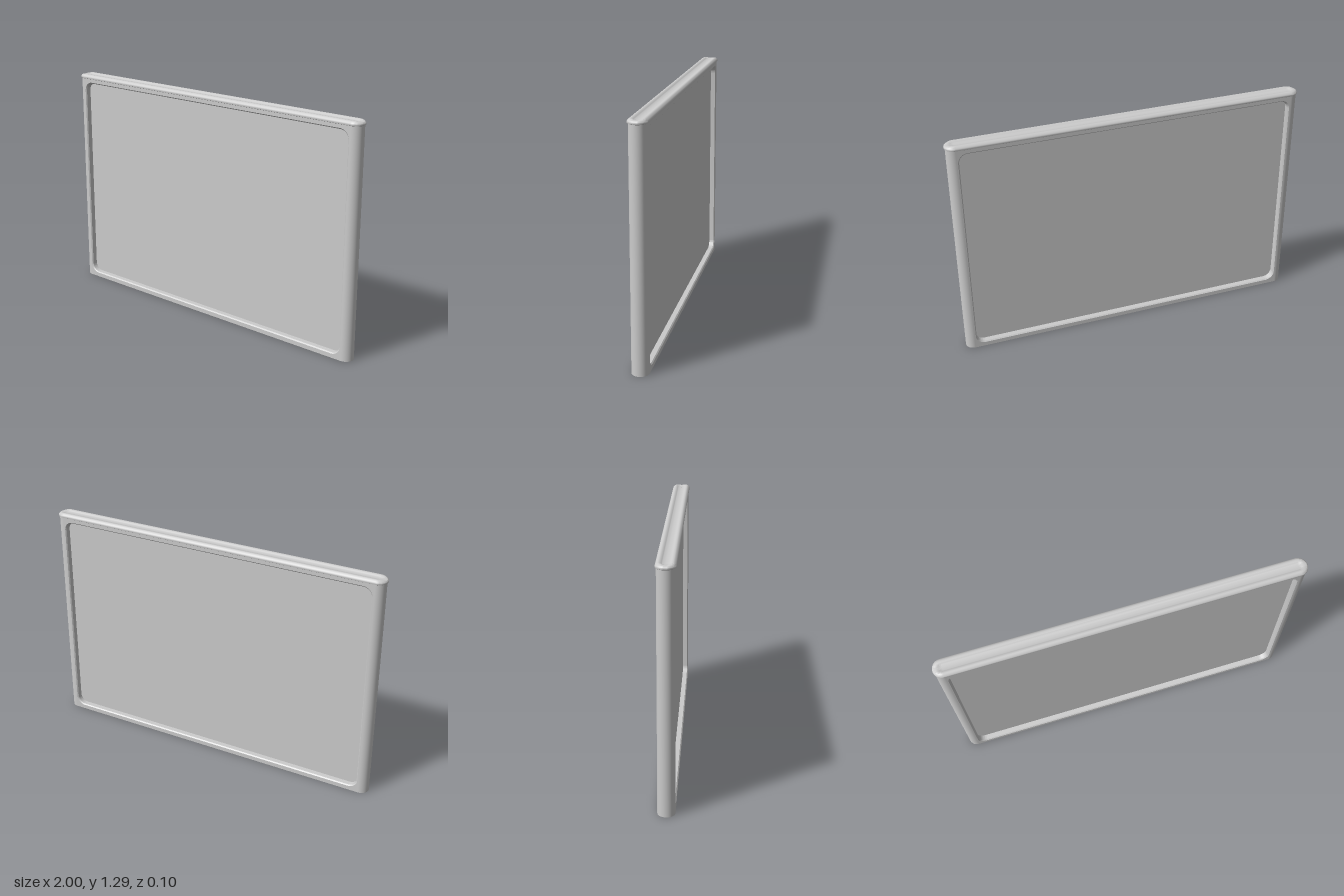
import * as THREE from 'three';
import { toCreasedNormals } from 'three/addons/utils/BufferGeometryUtils.js';

const material = new THREE.MeshStandardMaterial({ color: 0xcccccc, side: THREE.DoubleSide });
const HALF = 0.949;   // half length of the flat faces
const R = 0.046;      // half depth, also radius of the rounded ends
const TOP = 1.275;
const PANEL_Z = 0.013;

function part(name, geometry) {
  const mesh = new THREE.Mesh(geometry, material);
  mesh.name = name;
  return mesh;
}

// Skin between closed rings that all have the same number of points
function loft(rings) {
  const n = rings[0].length;
  const index = [];
  for (let i = 0; i < rings.length - 1; i++) {
    for (let j = 0; j < n; j++) {
      const k = (j + 1) % n;
      const a = i * n + j, b = i * n + k, c = a + n, d = b + n;
      index.push(a, b, d, a, d, c);
    }
  }
  const geometry = new THREE.BufferGeometry().setFromPoints(rings.flat());
  geometry.setIndex(index);
  return toCreasedNormals(geometry, 0.6);
}

// Window outline, shrunk by an inset
function windowShape(inset) {
  const x = 0.942 - inset, y0 = 0.024 + inset, y1 = 1.25 - inset, r = 0.055 - inset;
  const s = new THREE.Shape();
  s.absarc(x - r, y0 + r, r, -Math.PI / 2, 0);
  s.absarc(x - r, y1 - r, r, 0, Math.PI / 2);
  s.absarc(-x + r, y1 - r, r, Math.PI / 2, Math.PI);
  s.absarc(-x + r, y0 + r, r, Math.PI, Math.PI * 1.5);
  return s;
}

// Flat face with its window, the sloped reveal and the recessed panel
function makeSide(name) {
  const side = new THREE.Group();
  side.name = name;

  const face = new THREE.Shape([
    new THREE.Vector2(-HALF, 0), new THREE.Vector2(HALF, 0),
    new THREE.Vector2(HALF, TOP), new THREE.Vector2(-HALF, TOP)
  ]);
  face.holes.push(windowShape(0));
  side.add(part('frameFace', new THREE.ShapeGeometry(face, 10).translate(0, 0, R)));

  const ring = ([inset, z]) =>
    windowShape(inset).getPoints(10).map(p => new THREE.Vector3(p.x, p.y, z));
  side.add(part('windowReveal', loft([[0, R], [0.006, R - 0.006], [0.007, PANEL_Z]].map(ring))));

  side.add(part('panel', new THREE.ShapeGeometry(windowShape(0.007), 10).translate(0, 0, PANEL_Z)));
  return side;
}

// Stadium ring for the cap; ridges fade out toward the two ends
function capRing([r, y]) {
  const points = [], steps = 20, base = 1.288;
  for (const end of [0, 1]) {
    for (let i = 0; i <= steps; i++) {
      const a = -Math.PI / 2 + end * Math.PI + (i / steps) * Math.PI;
      const h = y > base ? base + (y - base) * Math.abs(Math.sin(a)) : y;
      points.push(new THREE.Vector3((end ? -HALF : HALF) + r * Math.cos(a), h, -r * Math.sin(a)));
    }
  }
  return points;
}

export function createModel() {
  const model = new THREE.Group();
  model.name = 'framedPanel';

  // Matching front and back
  const back = makeSide('backSide');
  back.rotation.y = Math.PI;
  model.add(makeSide('frontSide'), back);

  // Rounded ends, open at the bottom
  for (const [name, x, start] of [['leftEnd', HALF, 0], ['rightEnd', -HALF, Math.PI]]) {
    const end = new THREE.CylinderGeometry(R, R, TOP, 24, 1, true, start, Math.PI);
    model.add(part(name, end.translate(x, TOP / 2, 0)));
  }

  // Top cap with rolled rim, two ridges and a shallow central channel
  const profile = [
    [0.0001, 1.27], [0.047, 1.27], [0.0505, 1.272], [0.052, 1.277], [0.0505, 1.283],
    [0.047, 1.287], [0.041, 1.293], [0.035, 1.295], [0.027, 1.294], [0.021, 1.29],
    [0.016, 1.287], [0.0001, 1.287]
  ];
  model.add(part('topCap', loft(profile.map(capRing))));

  return model;
}
